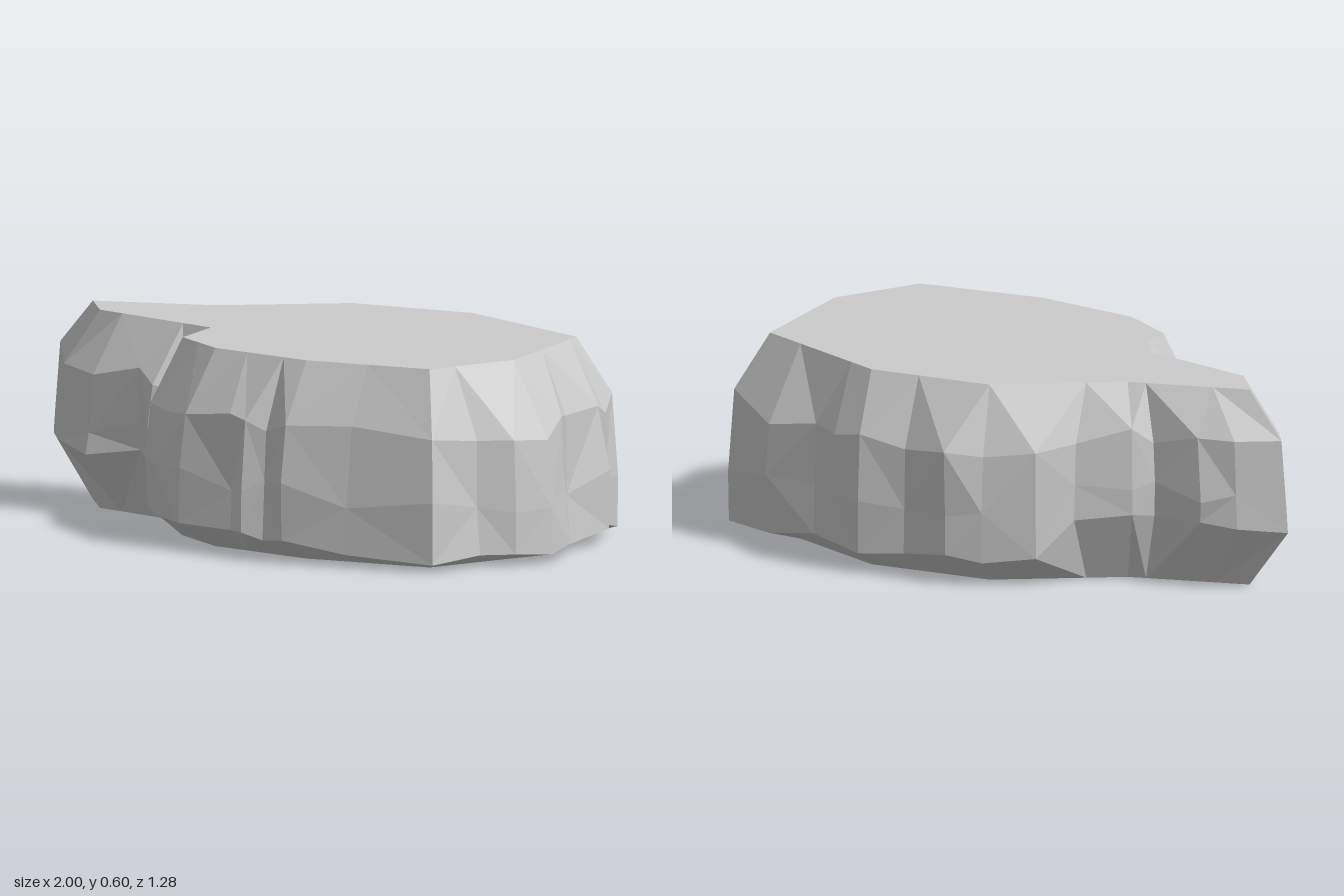
import * as THREE from 'three';
import { mergeGeometries } from 'three/addons/utils/BufferGeometryUtils.js';

const HEIGHT = 0.6;

// Corners of the flat top and base, [x, z]
const RIM = [
  [-0.84, -0.05], [-0.49, -0.19], [-0.18, -0.465], [0.22, -0.52], [0.74, -0.33], [0.85, 0.14],
  [0.75, 0.435], [0.35, 0.51], [-0.01, 0.475], [-0.21, 0.365], [-0.25, 0.165], [-0.72, 0.08],
];

// Bulging girth of the rock: [x, z, position along the rim in corners]
const GIRTH = [
  [-1, -0.07, 0], [-0.88, -0.16, 0.3], [-0.78, -0.21, 0.5], [-0.6, -0.2, 0.85], [-0.56, -0.26, 1],
  [-0.42, -0.37, 1.3], [-0.36, -0.48, 1.6], [-0.22, -0.56, 2], [-0.12, -0.62, 2.25], [0.04, -0.61, 2.6],
  [0.18, -0.645, 3], [0.3, -0.61, 3.2], [0.42, -0.55, 3.4], [0.6, -0.54, 3.7], [0.84, -0.42, 4],
  [0.85, -0.34, 4.1], [0.92, -0.25, 4.25], [0.91, -0.08, 4.55], [0.98, 0.02, 4.8], [1, 0.15, 5],
  [0.95, 0.27, 5.4], [0.88, 0.35, 5.7], [0.83, 0.53, 6], [0.55, 0.59, 6.5], [0.35, 0.64, 7],
  [0.25, 0.6, 7.25], [0.19, 0.63, 7.45], [0.13, 0.6, 7.65], [-0.06, 0.6, 8], [-0.2, 0.53, 8.5],
  [-0.3, 0.44, 9], [-0.36, 0.33, 9.5], [-0.32, 0.25, 10], [-0.4, 0.28, 10.25], [-0.48, 0.22, 10.45],
  [-0.67, 0.25, 10.8], [-0.85, 0.12, 11],
];

let seed = 7;
function jitter(amount) {
  seed = (seed * 16807) % 2147483647;
  return (seed / 2147483647 - 0.5) * 2 * amount;
}

function rimPoint(t) {
  const a = RIM[Math.floor(t) % RIM.length];
  const b = RIM[(Math.floor(t) + 1) % RIM.length];
  const f = t % 1;
  return [a[0] + (b[0] - a[0]) * f, a[1] + (b[1] - a[1]) * f];
}

// One vertical strip of points, from the base over the bulge to the top
function column([x, z, t]) {
  const [rx, rz] = rimPoint(t);
  const lowY = x < -0.38 ? 0.2 : 0.075 - 0.045 * x;
  const corner = t % 1 === 0;
  const wobble = corner ? 0.04 : 0.13;
  const levels = [
    [0, 0],
    [lowY + jitter(0.015), 0.93 + jitter(0.07)],
    [lowY * 0.5 + 0.18 + jitter(0.035), 0.97 + jitter(wobble) - (corner ? 0 : 0.07)],
    [(x < -0.4 ? 0.45 : 0.4) + jitter(0.03), 0.82 + jitter(wobble)],
    [HEIGHT, 0],
  ];
  return levels.map(([y, k]) => [rx + (x - rx) * k, y, rz + (z - rz) * k]);
}

function wallGeometry() {
  const columns = GIRTH.map(column);
  const positions = [];
  columns.forEach((a, i) => {
    const b = columns[(i + 1) % columns.length];
    for (let r = 0; r < a.length - 1; r++) {
      // Alternate the diagonal for irregular facets
      if ((i + r) % 2) positions.push(...a[r], ...a[r + 1], ...b[r + 1], ...a[r], ...b[r + 1], ...b[r]);
      else positions.push(...a[r], ...a[r + 1], ...b[r], ...a[r + 1], ...b[r + 1], ...b[r]);
    }
  });
  const geometry = new THREE.BufferGeometry();
  geometry.setAttribute('position', new THREE.Float32BufferAttribute(positions, 3));
  geometry.computeVertexNormals();
  return geometry;
}

// Flat cap; side is 1 for the top, -1 for the base
function capGeometry(side) {
  const shape = new THREE.Shape(RIM.map(([x, z]) => new THREE.Vector2(x, -side * z)));
  const cap = new THREE.ShapeGeometry(shape).rotateX(-side * Math.PI / 2);
  cap.translate(0, side > 0 ? HEIGHT : 0, 0);
  const flat = cap.toNonIndexed();
  flat.deleteAttribute('uv');
  return flat;
}

export function createModel() {
  const group = new THREE.Group();
  group.name = 'flatRock';
  const material = new THREE.MeshStandardMaterial({ color: 0xcccccc, flatShading: true });

  // Craggy sides
  const sides = new THREE.Mesh(wallGeometry(), material);
  sides.name = 'rockSides';

  // Flat top and base
  const caps = new THREE.Mesh(mergeGeometries([capGeometry(1), capGeometry(-1)]), material);
  caps.name = 'rockTopAndBase';

  group.add(sides, caps);
  return group;
}
